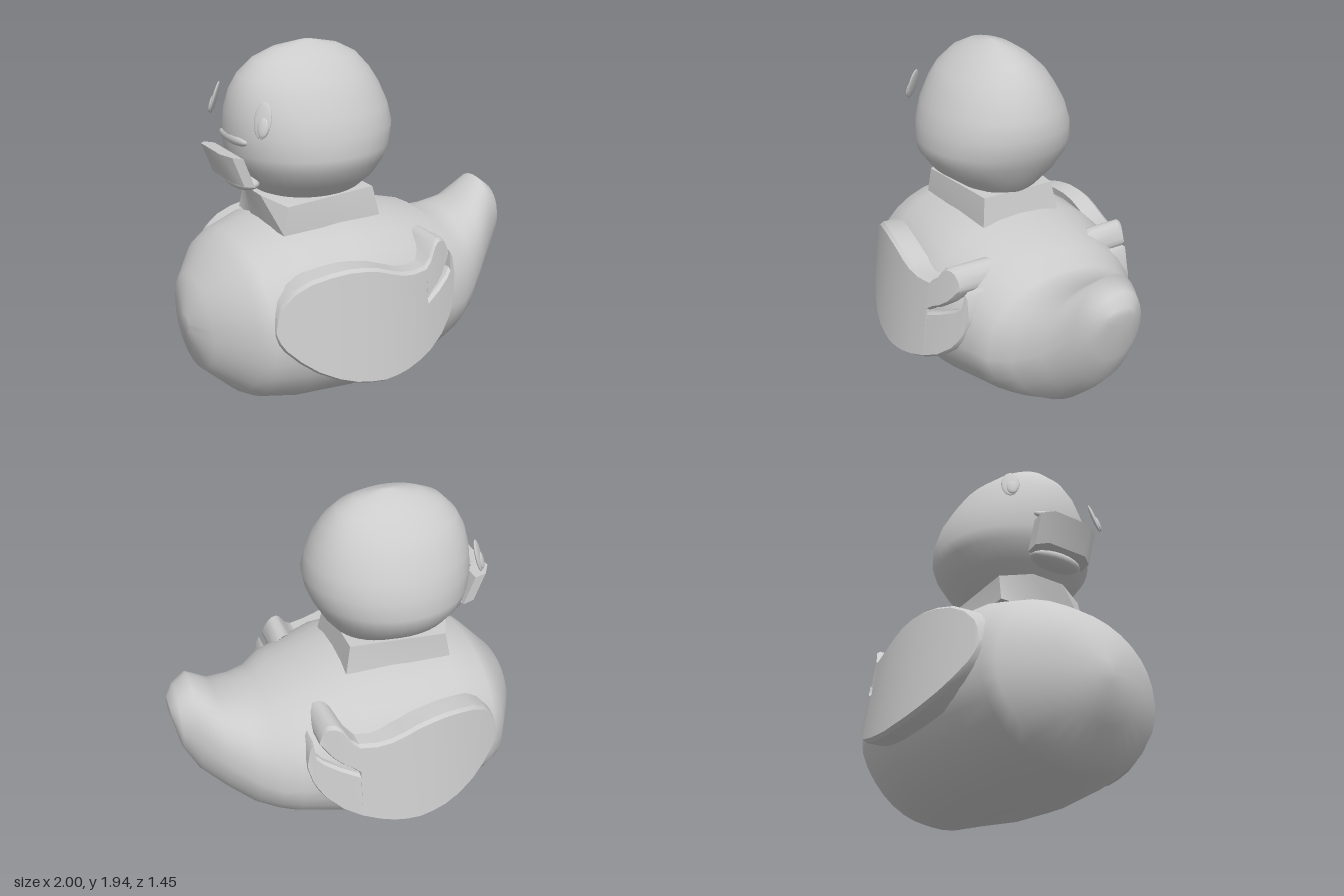
import * as THREE from 'three';
import { toCreasedNormals } from 'three/addons/utils/BufferGeometryUtils.js';

const material = new THREE.MeshStandardMaterial({ color: 0xcccccc });

// Skin a list of equal-length rings and close both ends
function loft(name, rings, creased = false) {
  const n = rings[0].length;
  const points = rings.flat();
  const index = [];
  for (let i = 0; i < rings.length - 1; i++) {
    for (let j = 0; j < n; j++) {
      const k = (j + 1) % n;
      const a = i * n + j, b = i * n + k, c = b + n, d = a + n;
      index.push(a, d, c, a, c, b);
    }
  }
  const last = (rings.length - 1) * n;
  for (let j = 1; j < n - 1; j++) {
    index.push(0, j, j + 1, last, last + j + 1, last + j);
  }
  let geometry = new THREE.BufferGeometry();
  geometry.setAttribute('position', new THREE.Float32BufferAttribute(points.flat(), 3));
  geometry.setIndex(index);
  if (creased) geometry = toCreasedNormals(geometry, 0.55);
  else geometry.computeVertexNormals();
  const mesh = new THREE.Mesh(geometry, material);
  mesh.name = name;
  return mesh;
}

// Points around a unit superellipse with its own power for each half
function roundRing(n, upper, lower, place) {
  return Array.from({ length: n }, (_, i) => {
    const a = (i / n) * Math.PI * 2;
    const bend = (v) => Math.sign(v) * Math.abs(v) ** (2 / (a > Math.PI ? lower : upper));
    return place(bend(Math.cos(a)), bend(Math.sin(a)));
  });
}

// Body sections from breast to tail: x, bottom, top, half width, belly roundness
function makeBody() {
  const sections = [
    [-1, 0.44, 0.55, 0.05, 2], [-0.95, 0.24, 0.75, 0.27, 2], [-0.8, 0.1, 0.9, 0.5, 2.1],
    [-0.73, 0.065, 0.95, 0.535, 2.2], [-0.53, 0.02, 1.02, 0.59, 2.2], [-0.2, 0, 1.03, 0.63, 2.2],
    [0.05, 0.005, 1.02, 0.62, 2.1], [0.4, 0.035, 0.93, 0.525, 1.75], [0.5, 0.07, 0.86, 0.475, 1.7],
    [0.61, 0.115, 0.87, 0.4, 1.7], [0.75, 0.25, 0.91, 0.295, 1.8], [0.88, 0.4, 1.02, 0.2, 2],
    [0.96, 0.58, 0.96, 0.155, 2], [1, 0.8, 0.89, 0.08, 2],
  ];
  return loft('body', sections.map(([x, lo, hi, w, belly]) =>
    roundRing(32, 2.2, belly, (u, v) => [x, (lo + hi) / 2 + v * (hi - lo) / 2, u * w])));
}

// Head rings from chin to crown: y, front x, back x, half width
function makeHead() {
  const levels = [
    [1.13, -0.49, 0.02, 0.2], [1.16, -0.54, 0.05, 0.24], [1.24, -0.62, 0.11, 0.35],
    [1.33, -0.68, 0.16, 0.415], [1.4, -0.7, 0.19, 0.43], [1.5, -0.71, 0.21, 0.415],
    [1.6, -0.7, 0.19, 0.383], [1.7, -0.675, 0.15, 0.328], [1.78, -0.63, 0.1, 0.275],
    [1.86, -0.55, 0.03, 0.185], [1.91, -0.44, -0.07, 0.105], [1.94, -0.28, -0.22, 0.015],
  ];
  return loft('head', levels.map(([y, x0, x1, w]) =>
    roundRing(40, 2.05, 2.05, (u, v) => [(x0 + x1) / 2 + u * (x1 - x0) / 2, y, v * w])));
}

// Mirror half an outline of [x, y, z] across z
const mirrored = (half) => [...half, ...half.map(([x, y, z]) => [x, y, -z]).reverse()];

function makeNeck() {
  return loft('neck', [
    mirrored([[0.06, 0.99, 0.24], [-0.54, 0.99, 0.275], [-0.55, 0.99, 0.1]]),
    mirrored([[0.03, 1.15, 0.215], [-0.51, 1.14, 0.265], [-0.585, 1.17, 0.1]]),
  ], true);
}

// Curved wing slab with a bevelled rim, from columns of x, bottom, top
function wingPart(name, columns, depth) {
  const outer = (x, y) => 0.725 - 0.145 * ((x + 0.19) / 0.55) ** 2 - 0.13 * (y - 0.28);
  return loft(name, columns.map(([x, lo, hi]) => {
    const bevel = Math.min(0.015, (hi - lo) / 4);
    return [
      [x, lo + bevel, outer(x, lo)], [x, hi - bevel, outer(x, hi)],
      [x, hi, outer(x, hi) - 0.02], [x, hi, outer(x, hi) - depth],
      [x, lo, outer(x, lo) - 0.12], [x, lo, outer(x, lo) - 0.02],
    ];
  }), true);
}

function makeWing(side) {
  const wing = new THREE.Group();
  wing.name = side > 0 ? 'frontWing' : 'backWing';
  wing.add(
    wingPart('wingFeather', [
      [-0.73, 0.58, 0.62], [-0.715, 0.53, 0.69], [-0.69, 0.49, 0.745], [-0.63, 0.43, 0.81],
      [-0.55, 0.37, 0.855], [-0.45, 0.32, 0.88], [-0.36, 0.29, 0.89], [-0.28, 0.275, 0.885],
      [-0.2, 0.265, 0.87], [-0.12, 0.27, 0.84], [-0.05, 0.28, 0.815], [0.03, 0.3, 0.8],
      [0.12, 0.33, 0.8], [0.121, 0.33, 0.61], [0.22, 0.38, 0.65], [0.3, 0.45, 0.69],
      [0.335, 0.5, 0.72], [0.345, 0.52, 0.81], [0.36, 0.55, 0.79], [0.38, 0.63, 0.68],
    ], 0.13),
    wingPart('wingCurl', [
      [0.12, 0.62, 0.8], [0.16, 0.65, 0.83], [0.2, 0.67, 0.895], [0.225, 0.69, 0.912],
      [0.25, 0.71, 0.915], [0.275, 0.74, 0.905], [0.3, 0.775, 0.875], [0.315, 0.8, 0.83],
    ], 0.235),
  );
  wing.scale.z = side;
  return wing;
}

function ellipsoid(name, position, radii) {
  const mesh = new THREE.Mesh(new THREE.SphereGeometry(1, 20, 14), material);
  mesh.name = name;
  mesh.position.set(...position);
  mesh.scale.set(...radii);
  return mesh;
}

// Bill: slanted plate in front of two narrow lips
function makeBill() {
  const bill = new THREE.Group();
  bill.name = 'bill';
  const level = (y, dx) => mirrored([[-0.71, 0.18], [-0.77, 0.18], [-0.81, 0.12]]
    .map(([x, z]) => [x + dx, y - (x + 0.81) * 0.25, z]));
  bill.add(
    loft('billPlate', [level(1.27, 0.06), level(1.43, 0)], true),
    ellipsoid('upperLip', [-0.68, 1.475, 0], [0.035, 0.035, 0.16]),
    ellipsoid('lowerLip', [-0.645, 1.245, 0], [0.075, 0.045, 0.16]),
  );
  return bill;
}

// Thin oval eye with a raised pupil, floating just off the face
function makeEye(side) {
  const eye = new THREE.Group();
  eye.name = side > 0 ? 'frontEye' : 'backEye';
  eye.add(
    ellipsoid('eyeWhite', [0, 0, 0], [0.048, 0.092, 0.012]),
    ellipsoid('pupil', [0.01, -0.035, 0.008], [0.03, 0.05, 0.012]),
  );
  eye.position.set(-0.65, 1.62, 0.29 * side);
  eye.rotation.set(-0.3, side > 0 ? -0.95 : -Math.PI + 0.95, 0, 'YXZ');
  return eye;
}

export function createModel() {
  const duck = new THREE.Group();
  duck.name = 'bathDuck';
  duck.add(makeBody(), makeNeck(), makeHead(), makeBill());
  for (const side of [1, -1]) duck.add(makeWing(side), makeEye(side));
  return duck;
}
